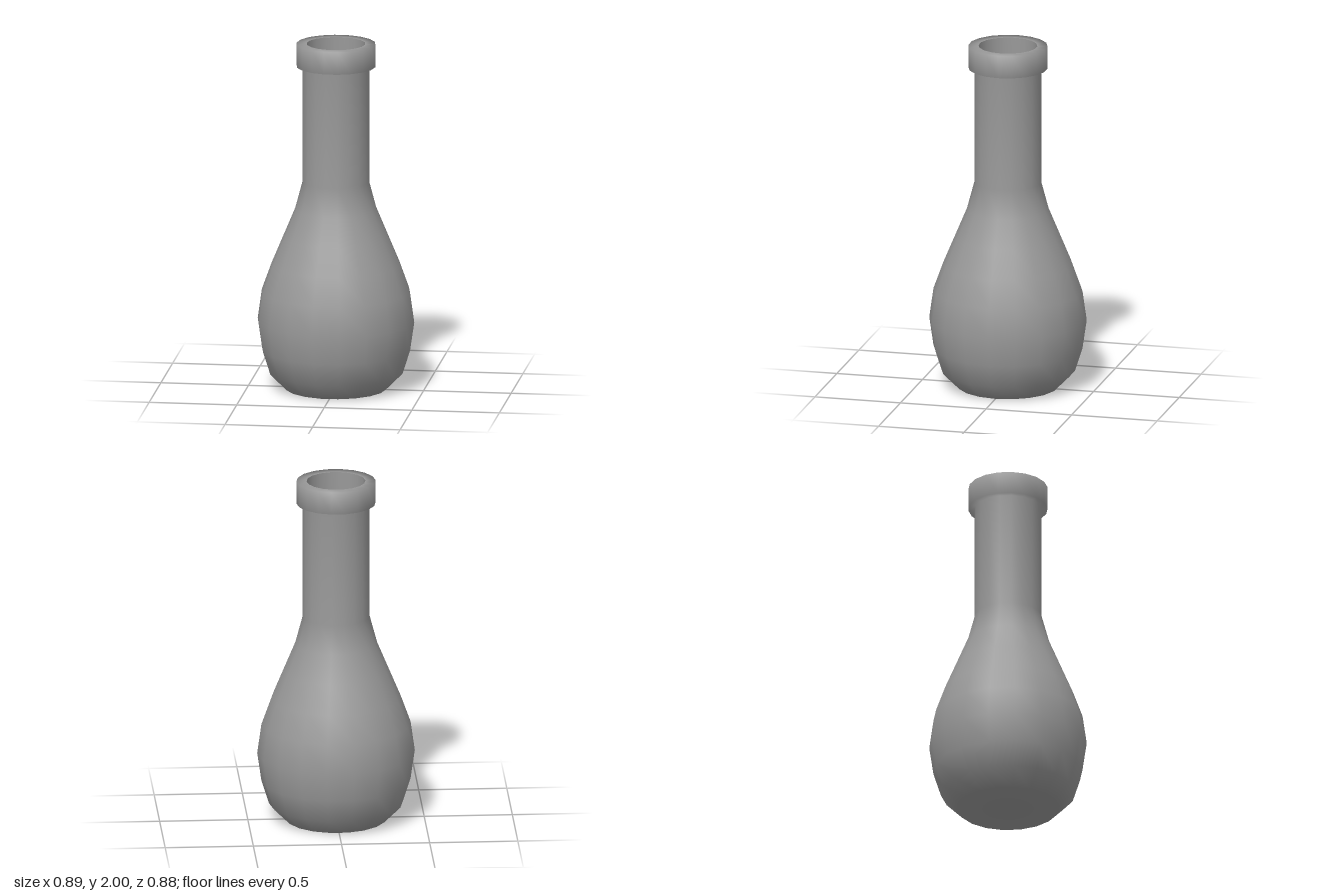
import * as THREE from 'three';

const SIDES = 18;

export function createModel() {
  const group = new THREE.Group();
  const material = new THREE.MeshStandardMaterial({ color: 0x999999, side: THREE.DoubleSide });

  // Revolve a [radius, height] profile, with a corner on the x axis
  const turn = (name, profile) => {
    const points = profile.map(([r, y]) => new THREE.Vector2(r, y));
    const geometry = new THREE.LatheGeometry(points, SIDES, Math.PI / 2);
    const mesh = new THREE.Mesh(geometry, material);
    mesh.name = name;
    group.add(mesh);
  };

  // Outside: flat base, rounded belly, tapering shoulder, straight neck,
  // then smoothly shaded out into the collar around the mouth
  turn('body', [
    [0, 0], [0.285, 0], [0.38, 0.095], [0.423, 0.23], [0.447, 0.395], [0.423, 0.565],
    [0.367, 0.72], [0.3, 0.88], [0.233, 1.04], [0.19, 1.2], [0.19, 1.87],
    [0.225, 1.87], [0.225, 2], [0.167, 2],
  ]);

  // Hollow inside, running from the mouth down to a dished floor
  turn('innerWall', [
    [0.167, 2], [0.167, 1.2], [0.21, 1.04], [0.277, 0.88], [0.344, 0.72], [0.4, 0.565],
    [0.423, 0.395], [0.4, 0.24], [0.33, 0.17], [0.17, 0.06], [0.03, 0.02], [0, 0.02],
  ]);

  return group;
}
